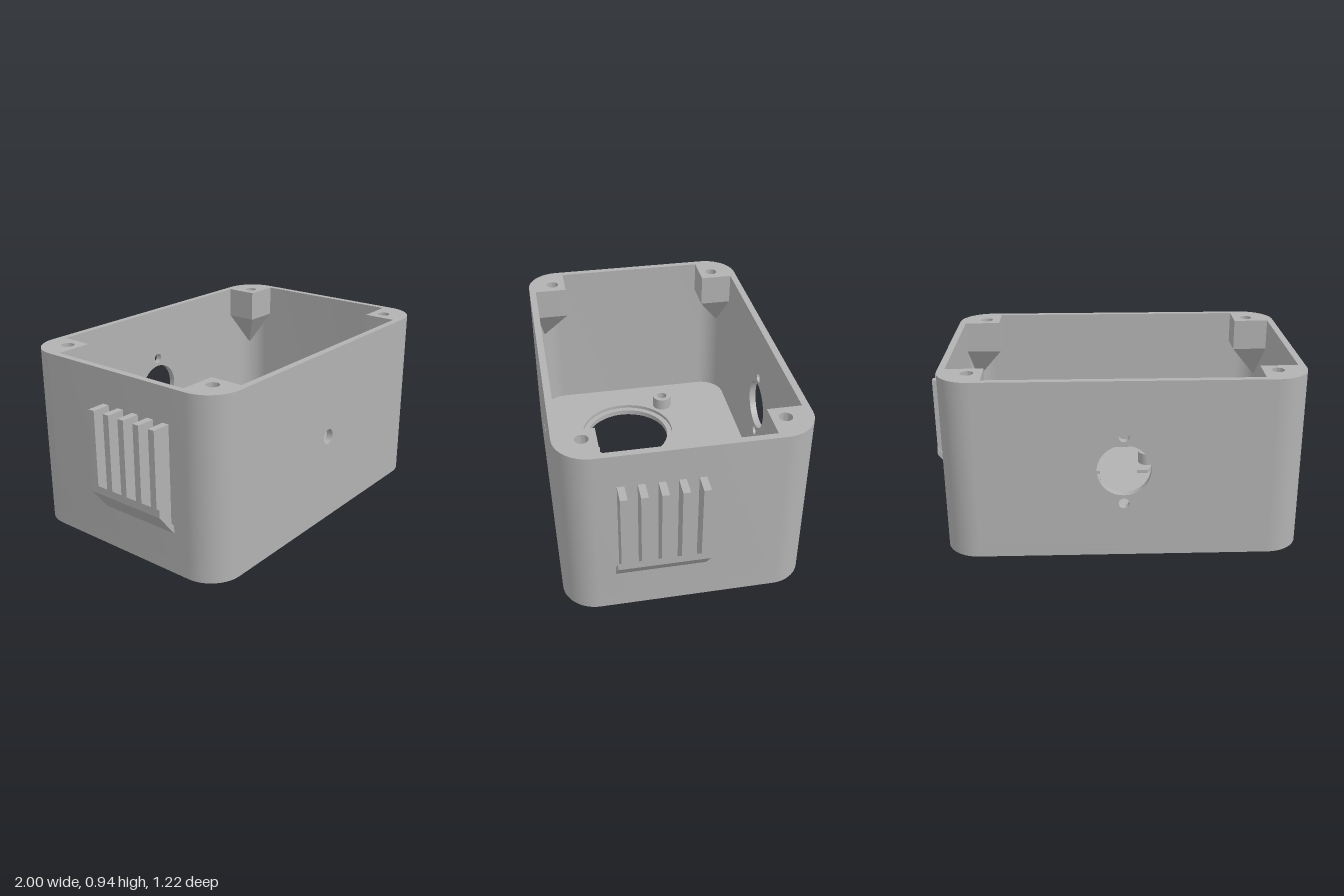
import * as THREE from 'three';
import { toCreasedNormals } from 'three/addons/utils/BufferGeometryUtils.js';

const W = 0.905, D = 0.612, H = 0.935, R = 0.17; // outer half sizes, height, corner radius
const T = 0.035, FLOOR = 0.07;                   // wall and floor thickness
const SPK_X = 0.415, SPK_Z = 0.1;                // large floor openings

export function createModel() {
  const group = new THREE.Group();
  const grey = new THREE.MeshStandardMaterial({ color: 0xb2b2b2 });
  grey.name = 'grey plastic';

  const add = (name, geometry) => {
    const mesh = new THREE.Mesh(toCreasedNormals(geometry, 0.5), grey);
    mesh.name = name;
    group.add(mesh);
    return mesh;
  };
  const extrude = (shape, depth) =>
    new THREE.ExtrudeGeometry(shape, { depth, bevelEnabled: false, curveSegments: 20 });
  // Plan shapes use (x, -z) and rise from y0
  const rise = (shape, y0, h) => extrude(shape, h).rotateX(-Math.PI / 2).translate(0, y0, 0);
  const circle = (x, y, r) => new THREE.Path().absarc(x, y, r, 0, Math.PI * 2, false);
  const polygon = (pts) => new THREE.Shape(pts.map(([x, y]) => new THREE.Vector2(x, y)));
  const arcPoints = (cx, cy, r, a0, a1, n = 14) => Array.from({ length: n + 1 }, (_, i) => {
    const a = a0 + (a1 - a0) * i / n;
    return [cx + r * Math.cos(a), cy + r * Math.sin(a)];
  });
  const cx = W - R, cz = D - R, Q = Math.PI / 2;

  const outline = () => polygon([
    ...arcPoints(cx, cz, R, 0, Q), ...arcPoints(-cx, cz, R, Q, 2 * Q),
    ...arcPoints(-cx, -cz, R, 2 * Q, 3 * Q), ...arcPoints(cx, -cz, R, 3 * Q, 4 * Q),
  ]);

  // Floor in three layers: outer recesses, lip, and inner seats with side notches
  const bottom = outline(), lip = outline(), seat = outline();
  for (const s of [-1, 1]) {
    bottom.holes.push(circle(s * SPK_X, -SPK_Z, 0.355));
    lip.holes.push(circle(s * SPK_X, -SPK_Z, 0.245));
    const end = Math.PI - Math.asin(0.13 / 0.275);
    const pts = arcPoints(SPK_X, -SPK_Z, 0.275, -end, end, 48);
    pts.push([0.11, -SPK_Z + 0.13], [0.11, -SPK_Z - 0.13]);
    seat.holes.push(polygon(pts.map(([x, y]) => [s * x, y])));
  }
  for (let i = 0; i < 8; i++) bottom.holes.push(circle(0.57 - i * 0.149, 0.346, 0.047));
  add('floorBottom', rise(bottom, 0, 0.02));
  add('floorLip', rise(lip, 0.02, 0.03));
  add('floorSeat', rise(seat, 0.05, FLOOR - 0.05));

  // Low strip along the middle of the floor
  add('floorStrip', new THREE.BoxGeometry(0.22, 0.02, 0.65).translate(0, FLOOR + 0.01, -0.26));

  // Side walls with rounded corners
  for (const s of [-1, 1]) {
    const r = R - T;
    const pts = [
      ...arcPoints(cx, -cz, R, -Q, 0), ...arcPoints(cx, cz, R, 0, Q),
      ...arcPoints(cx, cz, r, Q, 0), ...arcPoints(cx, -cz, r, 0, -Q),
    ];
    add('sideWall', rise(polygon(pts.map(([x, y]) => [s * x, y])), FLOOR, H - FLOOR));
  }

  // Front and back walls with their holes
  const panel = () => polygon([[-cx, FLOOR], [cx, FLOOR], [cx, H], [-cx, H]]);
  const front = panel(), back = panel();
  front.holes.push(circle(0, 0.47, 0.04));
  back.holes.push(circle(0, 0.47, 0.135), circle(0, 0.65, 0.027), circle(0, 0.29, 0.027));
  add('frontWall', extrude(front, T).translate(0, 0, D - T));
  add('backWall', extrude(back, T).translate(0, 0, -D));

  // Corner screw blocks, each tapering down into its corner
  for (const sx of [-1, 1]) for (const sz of [-1, 1]) {
    const block = () => polygon([
      [0.68, 0.405], [W - T, 0.405],
      ...arcPoints(cx, cz, R - T, 0, Q), [0.68, D - T],
    ].map(([x, y]) => [sx * x, sz * y]));
    const holed = block();
    holed.holes.push(circle(sx * 0.755, sz * 0.475, 0.033));
    add('screwBlock', rise(holed, H - 0.17, 0.17));
    const taper = rise(block(), 0.56, 0.205);
    const p = taper.attributes.position;
    for (let i = 0; i < p.count; i++) {
      if (p.getY(i) < 0.6) p.setXYZ(i, sx * 0.835, 0.56, -sz * 0.542);
    }
    add('screwBlockTaper', taper);
  }

  // Hollow screw posts on the floor
  for (const [x, z] of [[-0.655, -0.16], [0.655, -0.16], [-0.18, 0.355], [0.18, 0.355]]) {
    const ring = new THREE.Shape().absarc(x, -z, 0.056, 0, Math.PI * 2, false);
    ring.holes.push(circle(x, -z, 0.03));
    add('screwPost', rise(ring, FLOOR, 0.07));
  }

  // Side holders: a slanted shelf carrying five upright fins
  for (const s of [-1, 1]) {
    const profile = (pts) => polygon(pts.map(([x, y]) => [s * x, y]));
    const shelf = profile([[0.9, 0.208], [1, 0.335], [1, 0.375], [0.9, 0.25]]);
    add('holderShelf', extrude(shelf, 0.445).translate(0, 0, -0.086));
    const fin = profile([[0.9, 0.25], [1, 0.375], [1, 0.76], [0.9, 0.76]]);
    for (let i = 0; i < 5; i++) {
      add('holderFin', extrude(fin, 0.035).translate(0, 0, -0.073 + i * 0.095));
    }
  }
  return group;
}
